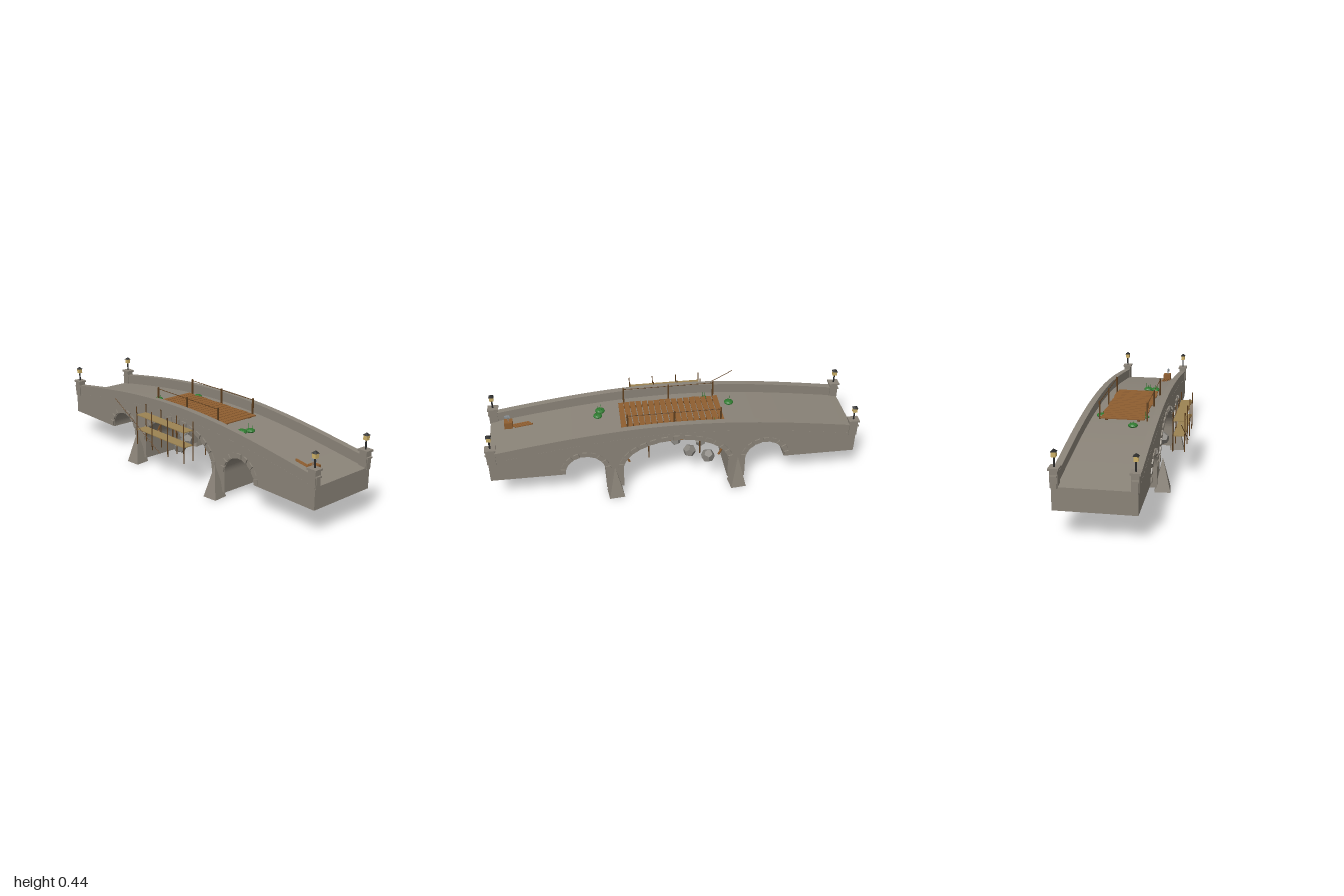
import * as THREE from 'three';

const MID = -0.0275; // centre line of the bridge in z
const mat = (color, flatShading = false) => new THREE.MeshStandardMaterial({ color, flatShading });
const stone = mat(0x8a8378, true), rubble = mat(0x85827c, true), wood = mat(0x8f5e30), darkWood = mat(0x60401f);
const plankMat = mat(0x9c8352), iron = mat(0x2b2b2b), glow = mat(0xcdb067), leaf = mat(0x2f7a30, true), metal = mat(0x8d9499);
const deckY = x => 0.253 + 0.099 * Math.cos(x * Math.PI / 2);

export function createModel() {
  const root = new THREE.Group();
  const group = (name, parent = root) => {
    const g = new THREE.Group();
    g.name = name;
    parent.add(g);
    return g;
  };
  const add = (parent, name, geo, m, x = 0, y = 0, z = 0) => {
    const mesh = new THREE.Mesh(geo, m);
    mesh.name = name;
    mesh.position.set(x, y, z);
    parent.add(mesh);
    return mesh;
  };
  const box = (parent, name, m, w, h, d, x, y, z) => add(parent, name, new THREE.BoxGeometry(w, h, d), m, x, y, z);
  // Round bar between two points
  const bar = (parent, name, m, a, b, r, sides = 6) => {
    const p = new THREE.Vector3(...a), q = new THREE.Vector3(...b), dir = q.clone().sub(p);
    const mesh = add(parent, name, new THREE.CylinderGeometry(r, r, dir.length(), sides), m);
    mesh.position.copy(p).add(q).multiplyScalar(0.5);
    mesh.quaternion.setFromUnitVectors(new THREE.Vector3(0, 1, 0), dir.normalize());
    return mesh;
  };
  const extrude = (shape, depth) => {
    const geo = new THREE.ExtrudeGeometry(shape, { depth, bevelEnabled: false, curveSegments: 24 });
    return geo.translate(0, 0, -depth / 2);
  };

  // Arched body with three openings and two piers
  const arches = [
    { x: 0, rx: 0.285, ry: 0.17, n: 15 },
    { x: -0.488, rx: 0.108, ry: 0.108, n: 9 },
    { x: 0.488, rx: 0.108, ry: 0.108, n: 9 },
  ];
  const spring = 0.14, foot = 0.028, N = 40;
  const body = new THREE.Shape();
  body.moveTo(-0.99, spring);
  for (const i of [1, 0, 2]) {
    const a = arches[i];
    if (i !== 1) body.lineTo(a.x - a.rx, foot);
    body.lineTo(a.x - a.rx, spring);
    body.absellipse(a.x, spring, a.rx, a.ry, Math.PI, 0, true);
    if (i !== 2) body.lineTo(a.x + a.rx, foot);
  }
  // the outer arches meet the pier feet on their inner side only
  body.lineTo(0.99, spring);
  for (let i = 0; i <= N; i++) {
    const x = 0.99 - 1.98 * i / N;
    body.lineTo(x, deckY(x));
  }
  add(root, 'bridgeBody', extrude(body, 0.397), stone, 0, 0, MID);

  // Strip that follows the curve of the road
  const strip = (half, low, high) => {
    const s = new THREE.Shape();
    for (let i = 0; i <= N; i++) {
      const x = -half + 2 * half * i / N;
      if (i) s.lineTo(x, deckY(x) + low); else s.moveTo(x, deckY(x) + low);
    }
    for (let i = N; i >= 0; i--) {
      const x = -half + 2 * half * i / N;
      s.lineTo(x, deckY(x) + high);
    }
    return s;
  };

  for (const side of [1, -1]) {
    const z = MID + side * 0.185;
    add(root, 'parapet', extrude(strip(0.995, -0.01, 0.048), 0.026), stone, 0, 0, z);
    add(root, 'coping', extrude(strip(1, 0.047, 0.056), 0.034), stone, 0, 0, z);

    // Raised arch stones
    const ring = group('archStones');
    for (const a of arches) {
      for (let i = 0; i < a.n; i++) {
        const t = Math.PI * (i + 0.5) / a.n;
        const nx = Math.cos(t) / a.rx, ny = Math.sin(t) / a.ry, l = Math.hypot(nx, ny);
        const w = a.n > 9 ? 0.036 : 0.028;
        const b = box(ring, 'archStone', stone, 0.026, w, 0.014,
          a.x + a.rx * Math.cos(t) + 0.016 * nx / l, spring + a.ry * Math.sin(t) + 0.016 * ny / l, MID + side * 0.1985);
        b.rotation.z = Math.atan2(ny, nx);
      }
    }

    for (const end of [1, -1]) {
      // End post with lantern
      const post = group('endPost');
      post.position.set(end * 0.97, 0, z);
      box(post, 'postShaft', stone, 0.044, 0.09, 0.038, 0, 0.295, 0);
      box(post, 'postCap', stone, 0.058, 0.01, 0.05, 0, 0.339, 0);
      bar(post, 'lampPole', iron, [0, 0.34, 0], [0, 0.393, 0], 0.0045, 8);
      box(post, 'lampGlass', glow, 0.022, 0.024, 0.022, 0, 0.404, 0);
      const roof = add(post, 'lampRoof', new THREE.ConeGeometry(0.02, 0.014, 4), iron, 0, 0.423, 0);
      roof.rotation.y = Math.PI / 4;

      // Pointed pier buttress
      const cut = add(root, 'cutwater', new THREE.ConeGeometry(0.059, 0.18, 4), stone, end * 0.333, 0.09, MID + side * 0.2225);
      cut.rotation.y = Math.PI / 4 + 0.1;
    }
  }

  // Timber repair over the crown of the road
  const repair = group('timberRepair');
  for (let i = 0; i < 17; i++) {
    const p = box(repair, 'deckPlank', wood, 0.028, 0.006, 0.236 + 0.006 * Math.sin(i * 5), -0.258 + i * 0.0329, 0.358, -0.03);
    p.rotation.y = 0.02 * Math.sin(i * 7.3);
  }
  for (const z of [-0.115, 0.055]) box(repair, 'joist', darkWood, 0.54, 0.009, 0.014, 0, 0.351, z);
  for (const z of [0.1, -0.153]) {
    for (const x of [-0.25, 0, 0.25]) box(repair, 'railPost', darkWood, 0.008, 0.1, 0.008, x, 0.395, z);
    bar(repair, 'railRope', darkWood, [-0.25, 0.437, z], [0.25, 0.437, z], 0.0018);
  }

  // Scaffold along the front
  const scaffold = group('scaffold');
  for (const x of [-0.2, -0.067, 0.067, 0.2])
    for (const z of [0.23, 0.293]) bar(scaffold, 'scaffoldPole', darkWood, [x, 0.168, z], [x, 0.385, z], 0.003);
  for (const y of [0.255, 0.337]) box(scaffold, 'scaffoldPlank', plankMat, 0.4, 0.004, 0.062, 0, y, 0.2615);
  bar(scaffold, 'scaffoldBrace', darkWood, [-0.4, 0.385, 0.293], [0, 0.168, 0.293], 0.002);

  // Timber centring under the main arch
  const centring = group('archCentring');
  for (const z of [-0.15, -0.03, 0.09]) {
    box(centring, 'tieBeam', wood, 0.5, 0.008, 0.01, 0, 0.257, z);
    for (const s of [1, -1]) {
      bar(centring, 'rib', wood, [s * 0.243, 0.24, z], [s * 0.27, 0.185, z], 0.006);
      bar(centring, 'rib', wood, [s * 0.27, 0.185, z], [s * 0.247, 0.13, z], 0.006);
      bar(centring, 'prop', darkWood, [s * 0.14, 0.15, z], [s * 0.14, 0.28, z], 0.004);
    }
  }

  // Loose stones beneath the main arch: x, y, z, radius
  const stones = group('looseStones');
  [
    [-0.175, 0.175, -0.21, 0.038], [-0.155, 0.18, -0.08, 0.032], [-0.12, 0.185, 0.02, 0.034], [-0.085, 0.165, -0.14, 0.036],
    [-0.05, 0.17, 0.06, 0.04], [0, 0.172, 0.152, 0.036], [-0.02, 0.175, -0.05, 0.03], [0.11, 0.175, 0.03, 0.032], [0.175, 0.185, -0.06, 0.031],
  ].forEach(([x, y, z, r], i) => {
    add(stones, 'looseStone', new THREE.DodecahedronGeometry(r), rubble, x, y, z).rotation.set(i, i * 2, i * 3);
  });

  // Tufts of greenery: x, z, radius
  const plants = group('greenery');
  [[0.385, 0.055, 0.027], [0.4, 0.01, 0.025], [-0.33, 0.037, 0.026], [-0.205, -0.155, 0.024], [-0.2, 0.088, 0.016]].forEach(([x, z, r], i) => {
    const y = deckY(x) + 0.006;
    add(plants, 'bush', new THREE.IcosahedronGeometry(r, 1), leaf, x, y, z).scale.y = 0.5;
    for (let k = 0; k < 3; k++) {
      const a = i + k * 2.1, gx = x + r * 0.5 * Math.cos(a), gz = z + r * 0.5 * Math.sin(a);
      add(plants, 'grassBlade', new THREE.ConeGeometry(0.001, 0.03, 4), leaf, gx, y + 0.022, gz);
    }
  });

  // Tool crate and spare planks
  const supplies = group('supplies');
  box(supplies, 'crate', wood, 0.045, 0.038, 0.042, 0.887, 0.293, 0.064);
  for (const dz of [0, 0.01]) bar(supplies, 'toolHandle', metal, [0.885, 0.305, 0.062 + dz], [0.89, 0.342, 0.066 + dz], 0.0018);
  box(supplies, 'toolHead', metal, 0.03, 0.012, 0.008, 0.89, 0.336, 0.07);
  [0.047, 0.058, 0.07].forEach((z, i) => {
    const p = box(supplies, 'sparePlank', wood, 0.1, 0.006, 0.009, 0.805 + i * 0.01, deckY(0.805 + i * 0.01) + 0.005, z);
    p.rotation.z = -0.145;
  });
  return root;
}
